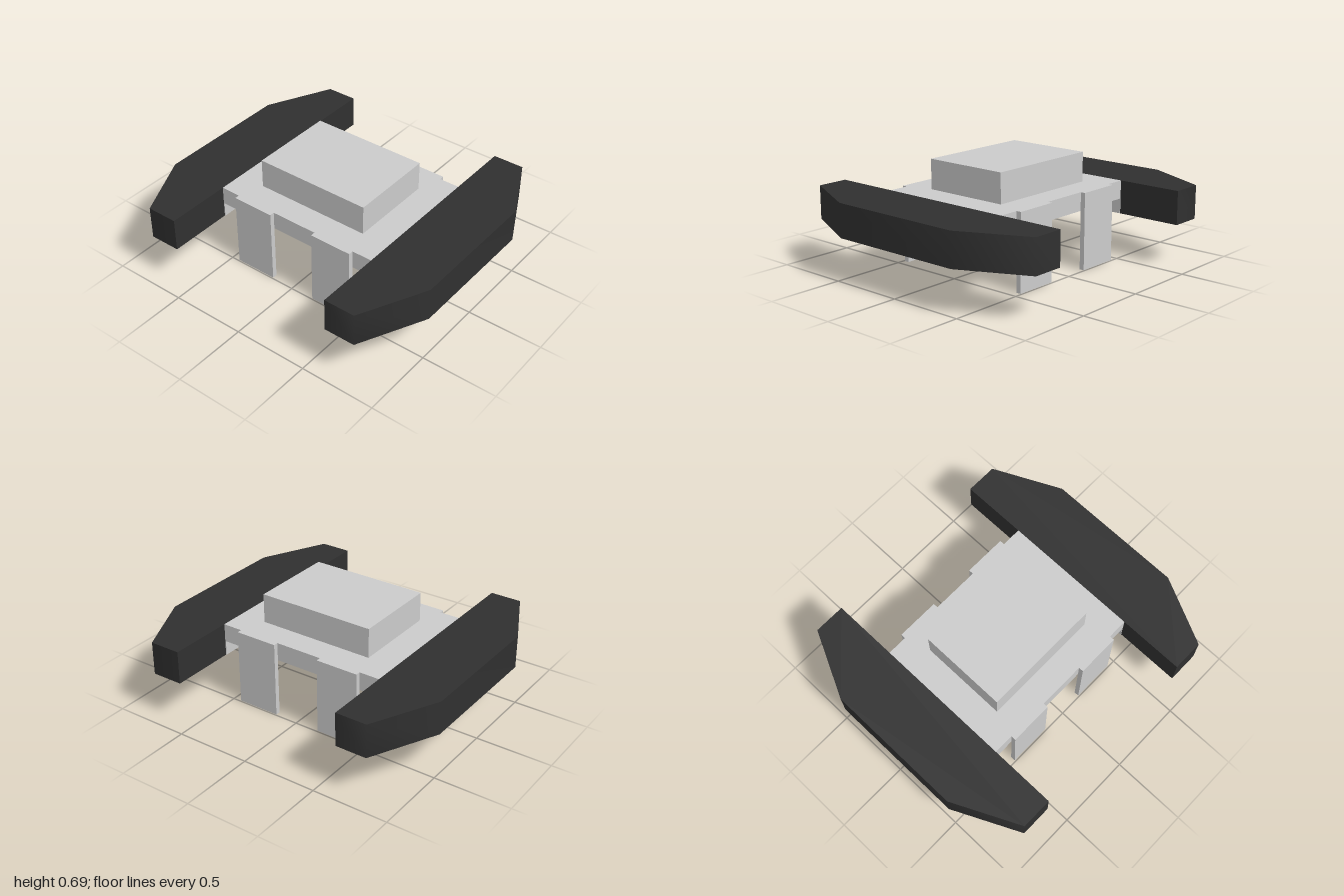
import * as THREE from 'three';
import { toCreasedNormals } from 'three/addons/utils/BufferGeometryUtils.js';

export function createModel() {
  const model = new THREE.Group();
  const grey = new THREE.MeshStandardMaterial({ color: 0xcccccc });
  const black = new THREE.MeshStandardMaterial({ color: 0x303030 });

  // Box given by its lower and upper corners
  function box(name, [x0, y0, z0], [x1, y1, z1]) {
    const mesh = new THREE.Mesh(new THREE.BoxGeometry(x1 - x0, y1 - y0, z1 - z0), grey);
    mesh.position.set((x0 + x1) / 2, (y0 + y1) / 2, (z0 + z1) / 2);
    mesh.name = name;
    model.add(mesh);
  }

  // Side pod: tapered plan outline extruded upwards, soft vertical corners
  function sidePod(name, side) {
    const outline = [[0.582, -0.895], [0.79, -0.895], [1, -0.46], [1, 0.46], [0.79, 0.895], [0.582, 0.895]];
    const shape = new THREE.Shape(outline.map(([x, z]) => new THREE.Vector2(side * x, z)));
    const geometry = new THREE.ExtrudeGeometry(shape, { depth: 0.22, bevelEnabled: false });
    geometry.rotateX(-Math.PI / 2).translate(0, 0.28, 0);
    const mesh = new THREE.Mesh(toCreasedNormals(geometry, 1.2), black);
    mesh.name = name;
    model.add(mesh);
  }

  // Body: flat deck with a raised block
  box('deck', [-0.582, 0.38, -0.46], [0.582, 0.5, 0.46]);
  box('raisedBlock', [-0.395, 0.5, -0.29], [0.395, 0.695, 0.29]);

  for (const side of [-1, 1]) {
    const label = side > 0 ? 'left' : 'right';
    sidePod(label + 'Pod', side);

    // Grey lining on the pod's inner wall, below the deck
    const lining = [side * 0.577, side * 0.583].sort((a, b) => a - b);
    box(label + 'Lining', [lining[0], 0.281, -0.46], [lining[1], 0.38, 0.46]);

    // Thin plate legs at the front and back edges of the deck
    const legX = [side * 0.16, side * 0.447].sort((a, b) => a - b);
    box(label + 'FrontLeg', [legX[0], 0, 0.46], [legX[1], 0.5, 0.492]);
    box(label + 'BackLeg', [legX[0], 0, -0.492], [legX[1], 0.5, -0.46]);
  }
  return model;
}
